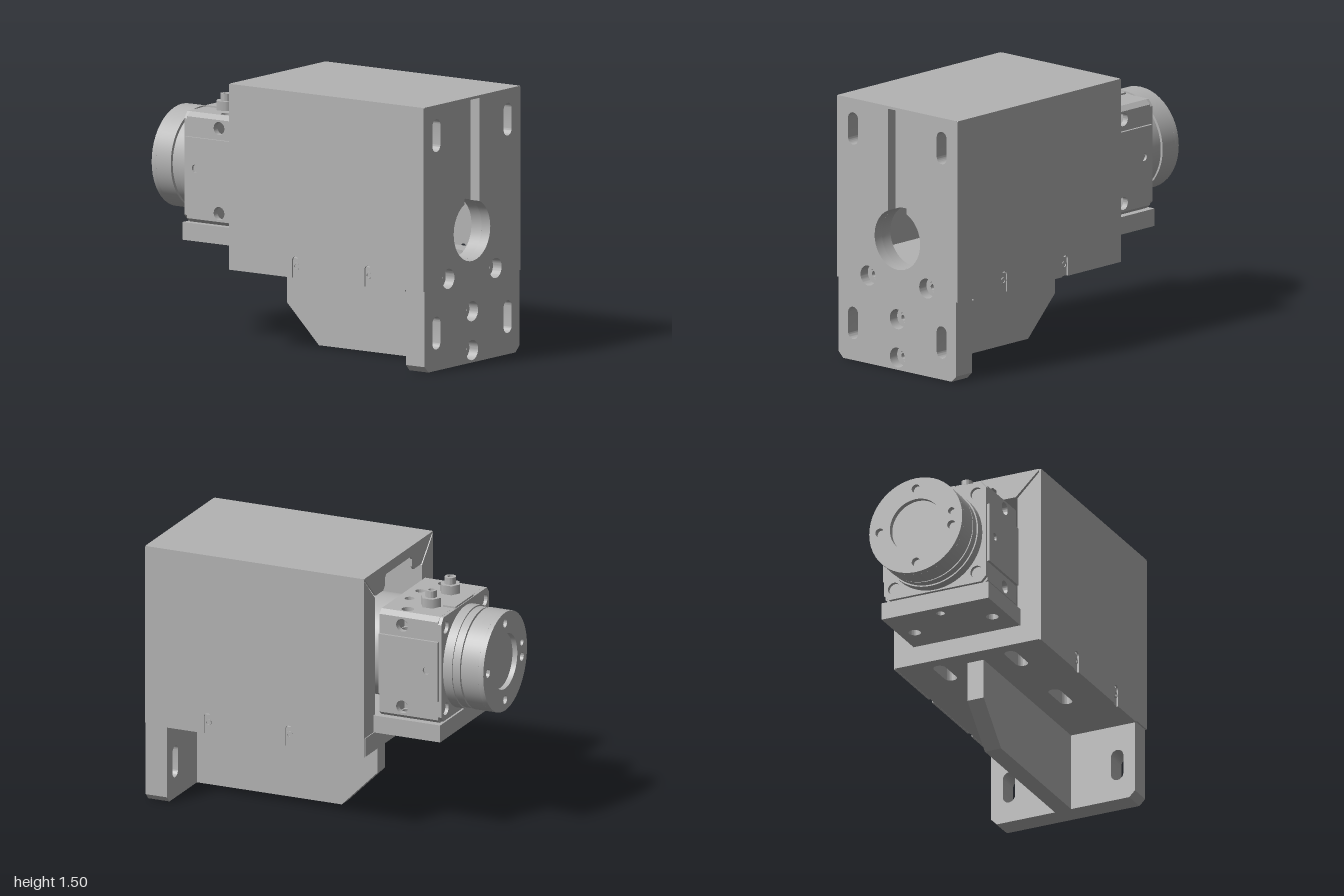
import * as THREE from 'three';
import { toCreasedNormals } from 'three/addons/utils/BufferGeometryUtils.js';

const grey = new THREE.MeshStandardMaterial({ color: 0xb3b3b3 });
grey.name = 'machined grey';

// --- 2D helpers ---
const poly = (pts) => new THREE.Shape(pts.map(([a, b]) => new THREE.Vector2(a, b)));
const rect = (a0, b0, a1, b1) => poly([[a0, b0], [a1, b0], [a1, b1], [a0, b1]]);
const disc = (r) => new THREE.Shape().absarc(0, 0, r, 0, Math.PI * 2, false);

function drill(shape, r, ...centres) {
  for (const [a, b] of centres) {
    shape.holes.push(new THREE.Path().absarc(a, b, r, 0, Math.PI * 2, true));
  }
  return shape;
}

// Upright slot with round ends
function slot(shape, r, a, b0, b1) {
  const p = new THREE.Path();
  p.absarc(a, b1 - r, r, 0, Math.PI, false);
  p.absarc(a, b0 + r, r, Math.PI, Math.PI * 2, false);
  p.closePath();
  shape.holes.push(p);
  return shape;
}

export function createModel() {
  const model = new THREE.Group();
  model.name = 'boxedLaserHead';

  const add = (name, geometry) => {
    const mesh = new THREE.Mesh(geometry, grey);
    mesh.name = name;
    model.add(mesh);
    return mesh;
  };
  // Extrude along an axis between two positions: 'z' takes (x,y), 'y' takes (x,z), 'x' takes (z,y)
  const extrude = (name, shape, axis, from, to, edit) => {
    let g = new THREE.ExtrudeGeometry(shape, { depth: to - from, bevelEnabled: false, curveSegments: 24 });
    if (axis === 'z') g.translate(0, 0, from);
    if (axis === 'y') g.rotateX(Math.PI / 2).translate(0, to, 0);
    if (axis === 'x') g.rotateY(-Math.PI / 2).translate(to, 0, 0);
    if (edit) edit(g.attributes.position);
    return add(name, toCreasedNormals(g, 0.6));
  };
  const box = (name, x0, x1, y0, y1, z0, z1) => add(name,
    new THREE.BoxGeometry(x1 - x0, y1 - y0, z1 - z0).translate((x0 + x1) / 2, (y0 + y1) / 2, (z0 + z1) / 2));
  const cylZ = (name, r, z0, z1, x, y, sides = 64) => add(name,
    new THREE.CylinderGeometry(r, r, z1 - z0, sides).rotateX(Math.PI / 2).translate(x, y, (z0 + z1) / 2));
  const cylY = (name, r, y0, y1, x, z, sides = 32) => add(name,
    new THREE.CylinderGeometry(r, r, y1 - y0, sides).translate(x, (y0 + y1) / 2, z));

  // --- Front plate: two layers, so the channel and counterbores have depth ---
  const plate = () => {
    const s = poly([[-0.41, 0], [0.41, 0], [0.445, 0.035], [0.445, 1.49], [-0.445, 1.49], [-0.445, 0.035]]);
    for (const x of [-0.335, 0.335]) {
      slot(s, 0.038, x, 0.12, 0.305);
      slot(s, 0.038, x, 1.235, 1.42);
    }
    return s;
  };
  const bolts = [[-0.222, 0.503], [0.222, 0.503], [0, 0.29], [0, 0.07]];
  const front = drill(plate(), 0.057, ...bolts);
  const keyhole = new THREE.Path();
  keyhole.absarc(0, 0.745, 0.172, Math.PI - 1.152, 1.152, false);
  keyhole.lineTo(0.07, 1.485);
  keyhole.lineTo(-0.07, 1.485);
  keyhole.closePath();
  front.holes.push(keyhole);
  extrude('frontPlateFace', front, 'z', 0.94, 1);
  const back = drill(drill(plate(), 0.033, ...bolts), 0.172, [0, 0.745]);
  extrude('frontPlateBack', back, 'z', 0.87, 0.94);
  for (const [x, y] of bolts) {
    extrude('plateScrew', drill(disc(0.027), 0.016, [0, 0]), 'z', 0.88, 0.95).position.set(x, y, 0);
  }

  // --- Base plate and supporting rib ---
  const base = rect(-0.445, -0.35, 0.445, 0.87);
  for (const x of [-0.22, 0.22]) {
    slot(base, 0.036, x, -0.28, -0.07);
    slot(base, 0.036, x, 0.28, 0.49);
  }
  drill(base, 0.1, [0.22, 0.66]);
  extrude('basePlate', base, 'y', 0.452, 0.56);
  extrude('rib', poly([[0.87, 0], [-0.02, 0], [-0.24, 0.22], [-0.24, 0.452], [0.87, 0.452]]), 'x', -0.05, 0.05);

  // --- Sheet metal cover ---
  const side = new THREE.Shape();
  side.moveTo(-0.345, 0.45);
  for (const z of [0.115, 0.615]) {
    side.lineTo(z - 0.0225, 0.45);
    side.lineTo(z - 0.0225, 0.548);
    side.absarc(z, 0.548, 0.0225, Math.PI, 0, true);
    side.lineTo(z + 0.0225, 0.45);
  }
  for (const [z, y] of [[0.87, 0.45], [0.87, 0.46], [1, 0.46], [1, 1.495], [0.995, 1.5], [-0.34, 1.5], [-0.345, 1.495]]) side.lineTo(z, y);
  for (const s of [-1, 1]) {
    extrude('coverSide', side, 'x', s * 0.45 - 0.005, s * 0.45 + 0.005);
    extrude('coverBackFlange', poly([[s * 0.445, 0.56], [s * 0.31, 0.56], [s * 0.31, 1.345], [s * 0.445, 1.48]]),
      'z', -0.345, -0.335);
    for (const z of [0.115, 0.615]) {
      extrude('coverScrew', drill(disc(0.02), 0.011, [0, 0]), 'x', s * 0.447 - 0.004, s * 0.447 + 0.004)
        .position.set(0, 0.515, z);
    }
  }
  box('coverTop', -0.445, 0.445, 1.49, 1.5, -0.345, 1);
  const topFlange = poly([[-0.44, 1.49], [-0.3, 1.355], [-0.2, 1.355], [-0.18, 1.375], [-0.18, 1.42], [-0.16, 1.44],
    [0.16, 1.44], [0.18, 1.42], [0.18, 1.375], [0.2, 1.355], [0.3, 1.355], [0.44, 1.49]]);
  extrude('coverTopFlange', topFlange, 'z', -0.345, -0.335);

  // --- Bracket plate under the head ---
  const bracket = drill(rect(-0.33, -0.755, 0.33, -0.2), 0.035, [-0.24, -0.52], [0.24, -0.52]);
  drill(bracket, 0.025, [0, -0.685]);
  extrude('bracketPlate', bracket, 'y', 0.56, 0.66);

  // --- Head block: drilled through from above and from the sides ---
  const Y = 0.97, Z0 = -0.735, Z1 = -0.375, ZH = -0.515;
  const topHoles = [[-0.24, ZH], [0.24, ZH]];
  extrude('blockMiddle', drill(rect(-0.315, Z0, 0.315, Z1), 0.035, ...topHoles), 'y', 0.775, 1.165);
  for (const s of [-1, 1]) {
    // Outer cap with chamfered long edges
    const cap = drill(rect(-0.315, Z0, 0.315, Z1), 0.035, ...topHoles);
    if (s > 0) drill(cap, 0.027, [-0.07, -0.445], [0.07, -0.445]);
    const yc = Y + s * 0.3;
    extrude('blockCap', cap, 'y', yc - 0.0125, yc + 0.0125, (p) => {
      for (let i = 0; i < p.count; i++) {
        if (Math.abs(p.getX(i)) > 0.3 && (p.getY(i) - yc) * s > 0) p.setX(i, Math.sign(p.getX(i)) * 0.285);
      }
    });
    // Cross-drilled layer
    const y0 = Y + s * 0.2413 - 0.0465, y1 = y0 + 0.093;
    const layer = drill(rect(Z0, y0, Z1, y1), 0.037, [ZH, Y + s * 0.24]);
    extrude('blockLayerCentre', layer, 'x', -0.2, 0.2);
    for (const t of [-1, 1]) {
      extrude('blockLayerEnd', layer, 'x', t * 0.2975 - 0.0175, t * 0.2975 + 0.0175);
      const x0 = t * 0.24 - 0.04, x1 = t * 0.24 + 0.04;
      box('blockLayerFill', x0, x1, y0, y1, Z0, ZH - 0.04);
      box('blockLayerFill', x0, x1, y0, y1, ZH + 0.04, Z1);
    }
    // Raised side panel with a small port
    const panel = drill(rect(-0.74, 0.795, Z1, 1.145), 0.022, [-0.67, Y]);
    extrude('sidePanel', panel, 'x', s * 0.3225 - 0.0075, s * 0.3225 + 0.0075);
    // Hexagonal fittings on top
    cylY('fittingNut', 0.06, 1.28, 1.335, s * 0.125, -0.605, 6);
    extrude('fittingStem', drill(disc(0.032), 0.017, [0, 0]), 'y', 1.335, 1.375).position.set(s * 0.125, 0, -0.605);
  }
  const end = poly([[-0.285, 0.67], [0.285, 0.67], [0.315, 0.7], [0.315, 1.245], [0.285, 1.282], [-0.285, 1.282],
    [-0.315, 1.245], [-0.315, 0.7]]);
  drill(end, 0.036, [-0.255, 0.735], [0.255, 0.735], [-0.255, 1.215], [0.255, 1.215]);
  extrude('blockEndPlate', end, 'z', -0.755, Z0);
  box('topPad', -0.12, 0.12, 1.28, 1.292, -0.75, -0.675);

  // --- Barrel and its drilled end ring ---
  cylZ('barrelCollar', 0.293, -0.81, -0.75, 0, Y);
  cylZ('barrelNeck', 0.285, -0.855, -0.81, 0, Y);
  cylZ('barrelGroove', 0.27, -0.87, -0.855, 0, Y);
  cylZ('barrelRim', 0.288, -0.97, -0.868, 0, Y);
  const ring = drill(disc(0.288), 0.16, [0, 0]);
  drill(ring, 0.025, [0, 0.225], [0, -0.225], [0.225, 0], [-0.22, -0.04]);
  drill(ring, 0.02, [-0.22, 0.045]);
  extrude('barrelEndRing', ring, 'z', -1, -0.97).position.y = Y;

  // --- Inner tube reaching into the cover ---
  extrude('innerTube', drill(disc(0.287), 0.14, [0, 0]), 'z', -0.375, -0.15).position.y = Y;

  return model;
}
